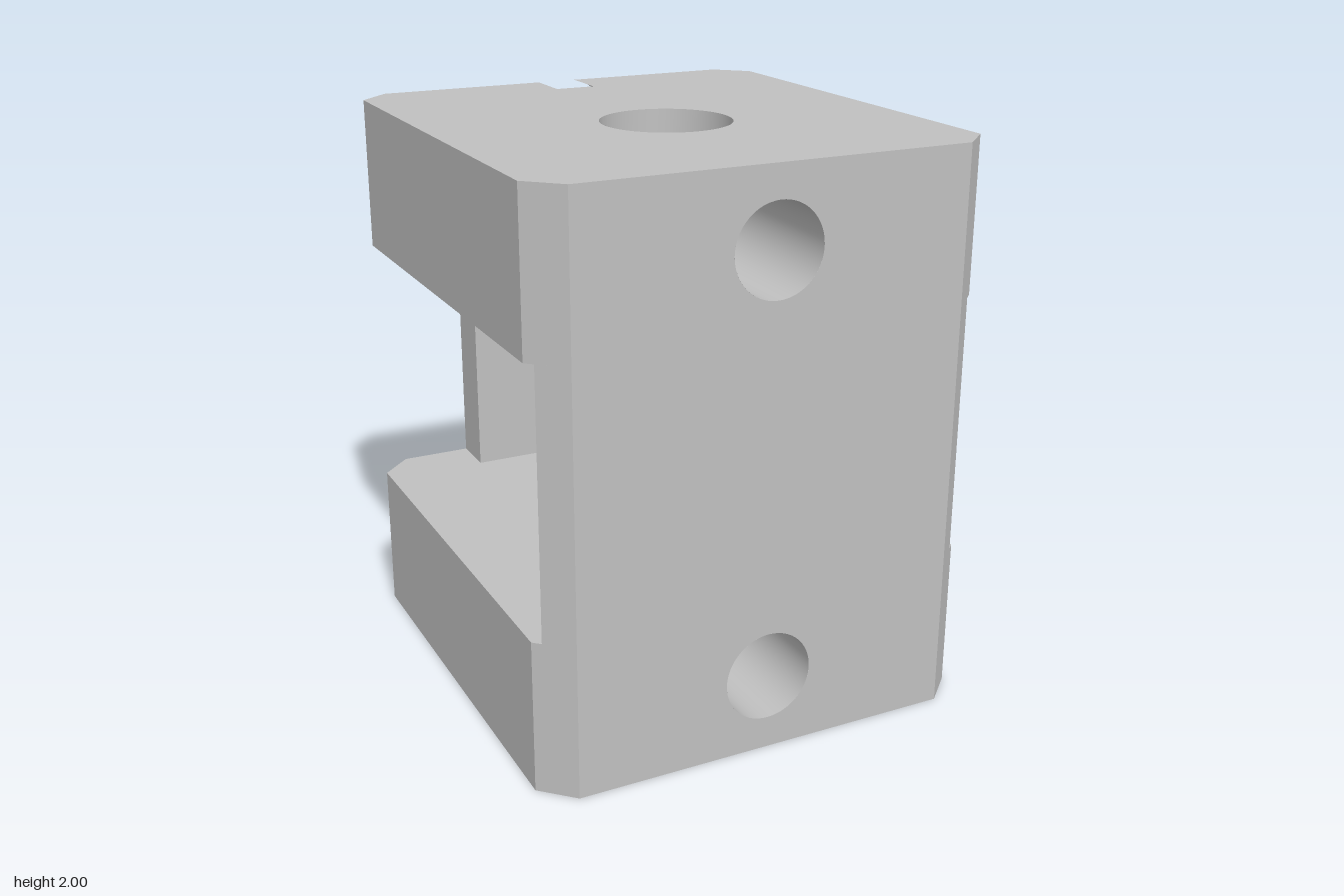
import * as THREE from 'three';
import { toCreasedNormals } from 'three/addons/utils/BufferGeometryUtils.js';

// Main dimensions
const ROOF = 1.46, TOP = 2, AXIS = 1.73;             // upper arm and its bolt axis
const BACK = -0.86, FRONT = 0.86, FLOOR = -0.68;     // FLOOR is the bottom of the counterbore
const PLATE = 0.78, WEB = -0.69, WEB_X = 0.434;      // window front wall, web face, web half width
const BOLT = 0.157, CBORE = 0.28, BORE = 0.227, BORE_Z = 0.09;
const GAP = Math.acos((TOP - AXIS) / CBORE);         // half angle where the counterbore breaks out
const NOTCH = CBORE * Math.sin(GAP);
const PI = Math.PI;

const range = (a, b, n) => Array.from({ length: n + 1 }, (_, i) => a + (b - a) * i / n);
const ring = (r, a, b, n) => range(a, b, n).map(t => [r * Math.sin(t), AXIS - r * Math.cos(t)]);
const halfTurn = pts => pts.map(([x, y]) => [-x, 2 - y]);
const mirrorX = pts => pts.map(([x, y]) => [-x, y]).reverse();

export function createModel() {
  const metal = new THREE.MeshStandardMaterial({ color: 0xc0c0c0, side: THREE.DoubleSide });
  metal.name = 'grey metal';

  const add = (parent, name, geometry) => {
    const mesh = new THREE.Mesh(geometry, metal);
    mesh.name = name;
    parent.add(mesh);
    return mesh;
  };

  // Surface ruled between two polylines of 3D points
  const ruled = (parent, name, a, b) => {
    const pos = [];
    for (let i = 0; i < a.length - 1; i++) {
      pos.push(...a[i], ...a[i + 1], ...b[i + 1], ...a[i], ...b[i + 1], ...b[i]);
    }
    const g = new THREE.BufferGeometry();
    g.setAttribute('position', new THREE.Float32BufferAttribute(pos, 3));
    return add(parent, name, toCreasedNormals(g, PI / 6));
  };

  // Upright wall along a path of [x, z]
  const wall = (parent, name, path, y0, y1) =>
    ruled(parent, name, path.map(([x, z]) => [x, y0, z]), path.map(([x, z]) => [x, y1, z]));

  // Flat face with round holes given as [x, y, radius]
  const face = (pts, holes = []) => {
    const shape = new THREE.Shape(pts.map(p => new THREE.Vector2(...p)));
    for (const [x, y, r] of holes) {
      shape.holes.push(new THREE.Path().absarc(x, y, r, 0, 2 * PI, true));
    }
    return new THREE.ShapeGeometry(shape, 64);
  };

  const model = new THREE.Group();
  model.name = 'clampBlock';

  // Front plate
  const inset = 0.774;
  add(model, 'frontFace', face([[-0.69, 0], [0.69, 0], [0.69, 2], [-0.69, 2]],
    [[0, AXIS, BOLT], [0, 2 - AXIS, BOLT]]).translate(0, 0, FRONT));
  wall(model, 'frontPlateInside',
    [[0.69, FRONT], [inset, PLATE], [-inset, PLATE], [-0.69, FRONT]], 2 - ROOF, ROOF);

  // Back face, its outline running around both counterbores
  const backTop = [[WEB_X, ROOF], [0.69, ROOF], [0.69, TOP],
    ...ring(CBORE, PI - GAP, GAP - PI, 64),
    [-0.69, TOP], [-0.69, ROOF], [-WEB_X, ROOF]];
  add(model, 'backFace', face([...backTop, ...halfTurn(backTop)]).rotateY(PI).translate(0, 0, BACK));

  // Web joining the arms at the back
  const webTop = [[WEB_X, ROOF], ...ring(CBORE, GAP, -GAP, 10), [-WEB_X, ROOF]];
  add(model, 'webInside', face([...webTop, ...halfTurn(webTop)]).translate(0, 0, WEB));
  const webSide = [[WEB_X, WEB], [WEB_X, BACK]];
  wall(model, 'webLeftSide', webSide, 2 - ROOF, ROOF);
  wall(model, 'webRightSide', mirrorX(webSide), 2 - ROOF, ROOF);

  // Upper and lower arms, the lower one mirrored
  for (const name of ['upperArm', 'lowerArm']) {
    const arm = new THREE.Group();
    arm.name = name;
    if (name === 'lowerArm') {
      arm.scale.y = -1;
      arm.position.y = 2;
    }
    model.add(arm);

    // Sides with corner chamfers
    const side = [[0.69, FRONT], [0.8, 0.755], [0.8, -0.755], [0.69, BACK]];
    wall(arm, 'leftSide', side, ROOF, TOP);
    wall(arm, 'rightSide', mirrorX(side), ROOF, TOP);

    // Outer and inner faces, notched where the counterbore breaks through
    const plan = notch => {
      const half = [...side, ...notch];
      return [...half, ...mirrorX(half)];
    };
    add(arm, 'outerFace', face(
      plan([[NOTCH, BACK], [NOTCH, FLOOR]]).map(([x, z]) => [x, -z]),
      [[0, -BORE_Z, BORE]]).rotateX(-PI / 2).translate(0, TOP, 0));
    add(arm, 'innerFace', face(
      plan([[WEB_X, BACK], [WEB_X, WEB], [NOTCH, WEB], [NOTCH, FLOOR]]),
      [[0, BORE_Z, BORE]]).rotateX(PI / 2).translate(0, ROOF, 0));

    // Counterbore wall, shorter where it runs through the web, and its floor
    const tube = (label, pts, z0, z1) => ruled(arm, label,
      pts.map(([x, y]) => [x, y, z0(x)]), pts.map(([x, y]) => [x, y, z1(x)]));
    const right = ring(CBORE, GAP, PI - GAP, 28);
    const left = ring(CBORE, GAP - PI, -GAP, 28);
    tube('counterboreWall', right, () => FLOOR, () => BACK);
    tube('counterboreWall', left, () => FLOOR, () => BACK);
    tube('counterboreWebCut', ring(CBORE, -GAP, GAP, 10), () => WEB, () => BACK);
    add(arm, 'counterboreFloor',
      face([...right, ...left], [[0, AXIS, BOLT]]).rotateY(PI).translate(0, 0, FLOOR));

    // Bolt hole, trimmed where it meets the upright bore
    const reach = x => Math.sqrt(BORE * BORE - x * x);
    const circle = ring(BOLT, 0, 2 * PI, 64);
    tube('boltHoleFront', circle, () => FRONT, x => BORE_Z + reach(x));
    tube('boltHoleBack', circle, x => BORE_Z - reach(x), () => FLOOR);

    // Upright bore, open where the bolt hole crosses it
    const edge = Math.asin(BOLT / BORE);
    const turns = [];
    for (const base of [0, PI]) {
      for (const s of range(-PI / 2, PI / 2, 24)) {
        turns.push(base + Math.asin(BOLT * Math.sin(s) / BORE));
      }
      turns.push(...range(base + edge, base + PI - edge, 16).slice(1, -1));
    }
    turns.push(2 * PI - edge);
    const boreLine = height => turns.map(t => {
      const x = BORE * Math.sin(t);
      const open = Math.sqrt(Math.max(0, BOLT * BOLT - x * x));
      return [x, height(open), BORE_Z - BORE * Math.cos(t)];
    });
    ruled(arm, 'boreWallInner', boreLine(() => ROOF), boreLine(o => AXIS - o));
    ruled(arm, 'boreWallOuter', boreLine(o => AXIS + o), boreLine(() => TOP));
  }
  return model;
}
